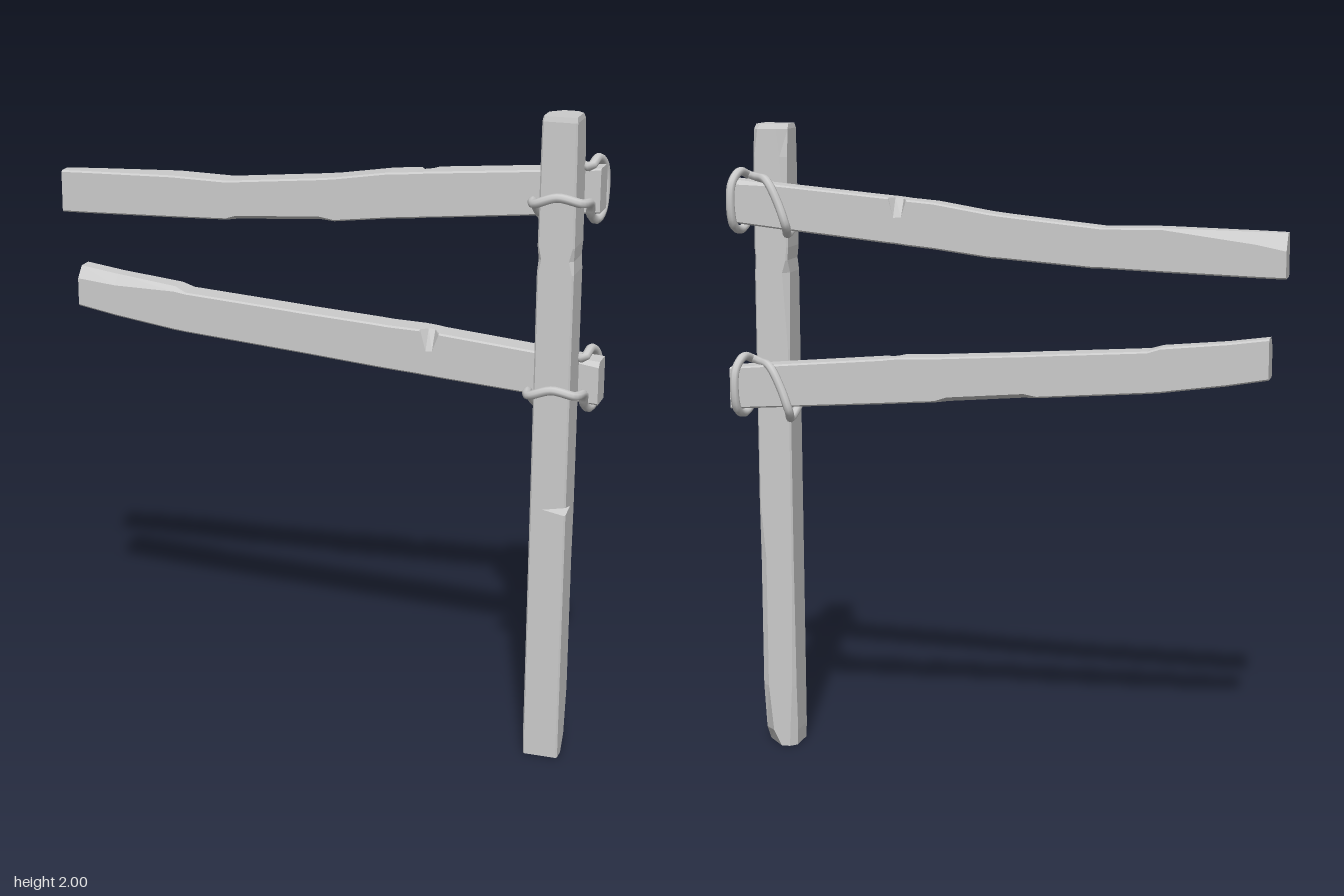
import * as THREE from 'three';

const wood = new THREE.MeshStandardMaterial({ color: 0xcccccc, flatShading: true });
const rope = new THREE.MeshStandardMaterial({ color: 0xcccccc });

// Rectangular section with a cut on each corner; cuts = {corner: [cu, cv]}
function ring(u0, u1, v0, v1, cuts = {}) {
  const c = [0, 1, 2, 3].map(i => cuts[i] || [0.005, 0.005]);
  return [
    [u0, v0 + c[0][1]], [u0 + c[0][0], v0],
    [u1 - c[1][0], v0], [u1, v0 + c[1][1]],
    [u1, v1 - c[2][1]], [u1 - c[2][0], v1],
    [u0 + c[3][0], v1], [u0, v1 - c[3][1]],
  ];
}

// Lofts rows of [t, u0, u1, v0, v1, cuts] into a closed hewn timber
function timber(name, rows, place) {
  const rings = rows.map(([t, ...r]) => ring(...r).map(([u, v]) => place(t, u, v)));
  const pos = [], idx = [], n = 8;
  rings.forEach(r => r.forEach(p => pos.push(...p)));
  for (let i = 0; i < rings.length - 1; i++) {
    for (let j = 0; j < n; j++) {
      const a = i * n + j, b = i * n + (j + 1) % n;
      idx.push(a, b, b + n, a, b + n, a + n);
    }
  }
  const last = (rings.length - 1) * n;
  for (let j = 1; j < n - 1; j++) {
    idx.push(0, j + 1, j, last, last + j, last + j + 1);
  }
  const indexed = new THREE.BufferGeometry();
  indexed.setAttribute('position', new THREE.Float32BufferAttribute(pos, 3));
  indexed.setIndex(idx);
  const geo = indexed.toNonIndexed();
  geo.computeVertexNormals();
  const mesh = new THREE.Mesh(geo, wood);
  mesh.name = name;
  return mesh;
}

// Corner numbers on the post: 0 back right, 1 front right, 2 front left, 3 back left
function post() {
  const F = 0.095, B = -0.02;
  return timber('post', [
    [0, B, F, 0.692, 0.80, { 3: [0.07, 0.06], 0: [0.02, 0.02] }],
    [0.05, B, F, 0.69, 0.80, { 3: [0.035, 0.035], 0: [0.02, 0.02] }],
    [0.2, B, F, 0.69, 0.80, { 3: [0.012, 0.02], 0: [0.012, 0.012] }],
    [0.62, B, F, 0.69, 0.80, { 3: [0.012, 0.02] }],
    [0.8, B, F, 0.69, 0.80],
    [0.812, B, F, 0.69, 0.80, { 2: [0.06, 0.07] }],
    [0.825, B, F, 0.69, 0.80],
    [1.3, B, F, 0.69, 0.80],
    [1.54, B, F, 0.69, 0.80, { 0: [0.02, 0.02] }],
    [1.58, B, F, 0.693, 0.797, { 2: [0.012, 0.012], 1: [0.01, 0.01] }],
    [1.62, B, F, 0.69, 0.80],
    [1.9, B, F, 0.692, 0.798, { 0: [0.015, 0.02] }],
    [1.985, B, F, 0.693, 0.797, { 0: [0.03, 0.03], 3: [0.015, 0.015] }],
    [2, B + 0.008, F - 0.004, 0.696, 0.794, { 0: [0.035, 0.035], 3: [0.02, 0.02] }],
  ], (t, u, v) => [v, t, u]);
}

// Corner numbers on a rail: 0 bottom back, 1 top back, 2 top front, 3 bottom front
function rail(name, rows) {
  return timber(name, rows.map(([x, y0, y1, cuts]) => [x, y0, y1, -0.102, -0.018, cuts]),
    (t, u, v) => [t, u, v]);
}

// One closed rope: across the post's front, round the rail end, then diagonally back
const ropePath = [
  [0.663, -0.015, 0.05], [0.68, -0.01, 0.108], [0.75, 0.015, 0.118], [0.815, 0, 0.102],
  [0.828, -0.015, 0.03], [0.822, -0.055, -0.004], [0.83, -0.08, -0.05], [0.835, -0.055, -0.112],
  [0.835, 0.06, -0.12], [0.825, 0.1, -0.07], [0.815, 0.085, -0.008], [0.775, 0.082, -0.05],
  [0.725, 0.075, -0.105], [0.685, 0.01, -0.122], [0.662, -0.06, -0.118],
  [0.675, -0.09, -0.06], [0.668, -0.06, -0.005],
];
function lashing(name, y) {
  const curve = new THREE.CatmullRomCurve3(
    ropePath.map(p => new THREE.Vector3(p[0], p[1] + y, p[2])), true);
  const mesh = new THREE.Mesh(new THREE.TubeGeometry(curve, 96, 0.0135, 8, true), rope);
  mesh.name = name;
  return mesh;
}

export function createModel() {
  const group = new THREE.Group();
  group.name = 'fencePostWithRails';
  group.add(
    post(),
    rail('upperRail', [
      [-0.87, 1.572, 1.705, { 1: [0.05, 0.04] }],
      [-0.78, 1.574, 1.708, { 1: [0.035, 0.03] }],
      [-0.5, 1.583, 1.715],
      [-0.32, 1.59, 1.712],
      [-0.29, 1.59, 1.715, { 3: [0.015, 0.03] }],
      [-0.02, 1.61, 1.742, { 3: [0.015, 0.03] }],
      [0.03, 1.613, 1.748],
      [0.2, 1.635, 1.776],
      [0.285, 1.643, 1.783],
      [0.3, 1.645, 1.785, { 1: [0.055, 0.035] }],
      [0.325, 1.648, 1.788, { 1: [0.06, 0.03] }],
      [0.34, 1.649, 1.789],
      [0.69, 1.685, 1.82],
      [0.845, 1.702, 1.835, { 1: [0.015, 0.015] }],
    ]),
    rail('lowerRail', [
      [-0.825, 1.27, 1.395, { 2: [0.035, 0.03] }],
      [-0.7, 1.248, 1.378, { 2: [0.03, 0.03] }],
      [-0.5, 1.22, 1.358, { 2: [0.012, 0.02] }],
      [-0.46, 1.216, 1.345],
      [-0.12, 1.19, 1.323],
      [-0.08, 1.187, 1.32, { 0: [0.015, 0.025] }],
      [0.16, 1.167, 1.306, { 0: [0.015, 0.025] }],
      [0.2, 1.164, 1.303],
      [0.305, 1.157, 1.3],
      [0.325, 1.155, 1.298, { 2: [0.065, 0.03] }],
      [0.345, 1.154, 1.296, { 2: [0.06, 0.035] }],
      [0.365, 1.152, 1.293],
      [0.69, 1.13, 1.265],
      [0.86, 1.118, 1.25, { 2: [0.015, 0.015] }],
    ]),
    lashing('upperLashing', 1.757),
    lashing('lowerLashing', 1.18),
  );
  return group;
}
